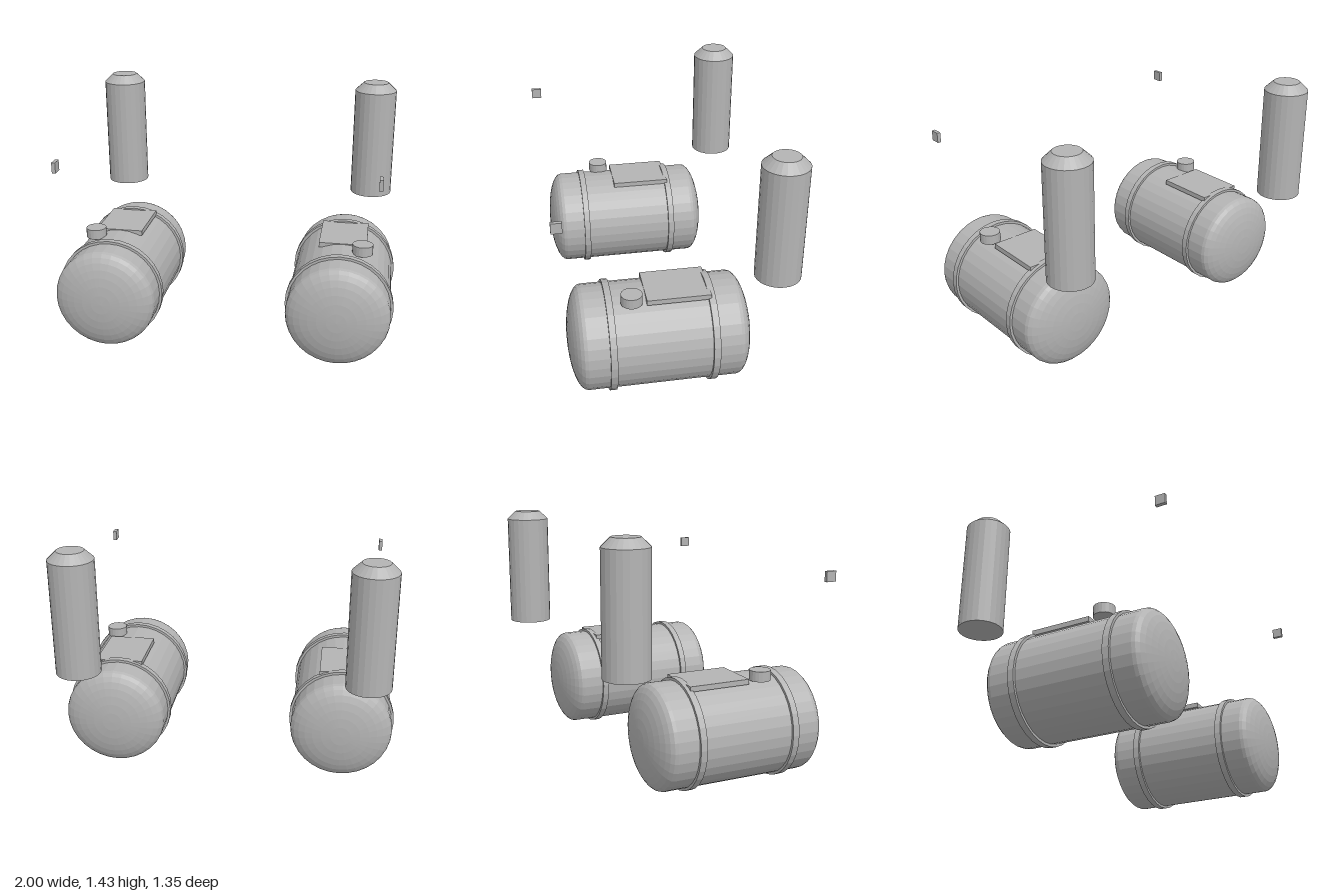
import * as THREE from 'three';

export function createModel() {
  const model = new THREE.Group();
  const grey = new THREE.MeshStandardMaterial({ color: 0xb4b4b4, flatShading: true });
  grey.name = 'plain grey';

  const add = (parent, name, geometry, x, y, z) => {
    const mesh = new THREE.Mesh(geometry, grey);
    mesh.name = name;
    mesh.position.set(x, y, z);
    parent.add(mesh);
  };

  // Tank profile: straight barrel with a shallow elliptical dome at each end
  const radius = 0.3, dome = 0.095, back = -0.324, front = 0.523, steps = 8;
  const profile = [];
  for (let i = 0; i <= steps; i++) {
    const a = (i / steps) * Math.PI / 2;
    profile.push(new THREE.Vector2(radius * Math.sin(a), back - dome * Math.cos(a)));
  }
  for (let i = steps; i >= 0; i--) {
    const a = (i / steps) * Math.PI / 2;
    profile.push(new THREE.Vector2(radius * Math.sin(a), front + dome * Math.cos(a)));
  }
  profile[0].x = profile[profile.length - 1].x = 0;
  const tankShape = new THREE.LatheGeometry(profile, 32).rotateX(Math.PI / 2);
  const strapShape = new THREE.CylinderGeometry(0.315, 0.315, 0.038, 32).rotateX(Math.PI / 2);

  // Stack profile: upright cylinder with a chamfered top
  const stackShape = new THREE.LatheGeometry([
    new THREE.Vector2(0, 0.712), new THREE.Vector2(0.13, 0.712),
    new THREE.Vector2(0.13, 1.386), new THREE.Vector2(0.078, 1.436),
    new THREE.Vector2(0, 1.436),
  ], 24);

  for (const side of [-1, 1]) {
    const half = new THREE.Group();
    half.name = side > 0 ? 'leftSide' : 'rightSide';
    const x = side * 0.684, y = 0.318;

    // Tank with its straps, step plate and filler cap
    add(half, 'tank', tankShape, x, y, 0);
    for (const z of [-0.183, 0.385]) add(half, 'strap', strapShape, x, y, z);
    add(half, 'stepPlate', new THREE.BoxGeometry(0.283, 0.03, 0.36), x, 0.606, 0);
    add(half, 'fillerCap', new THREE.CylinderGeometry(0.06, 0.06, 0.058, 20), side * 0.803, 0.633, 0.262);

    // Stack behind the tank and small marker block in front
    add(half, 'stack', stackShape, side * 0.823, 0, -0.545);
    add(half, 'markerBlock', new THREE.BoxGeometry(0.021, 0.06, 0.06), side * 0.885, 1.167, 0.647);
    model.add(half);
  }
  return model;
}
